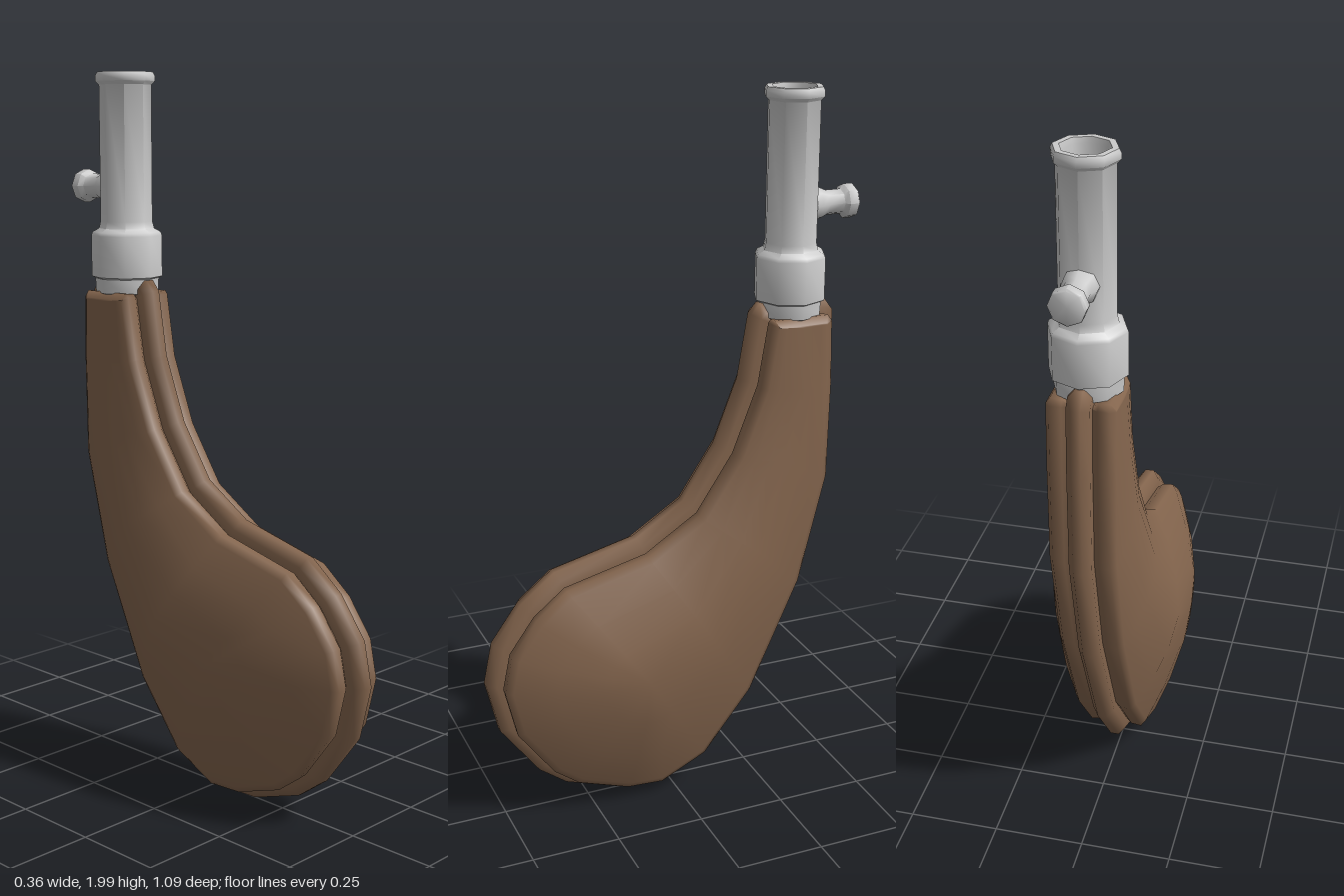
import * as THREE from 'three';
import { mergeVertices, toCreasedNormals } from 'three/addons/utils/BufferGeometryUtils.js';

// spine of the leather body: z, y, half thickness
const SPINE = [
  [-0.36, 1.37, 0.09], [-0.36, 1.2, 0.1], [-0.31, 1.0, 0.108],
  [-0.22, 0.75, 0.14], [-0.07, 0.52, 0.178], [0.12, 0.43, 0.18],
];

// side outline: z, y, index of the spine point each corner leans towards
const OUTLINE = [
  [-0.46, 1.43, 0], [-0.49, 1.39, 0], [-0.495, 1.2, 1], [-0.49, 0.92, 2],
  [-0.41, 0.6, 3], [-0.26, 0.27, 4], [-0.11, 0.08, 5], [0.04, 0.008, 5],
  [0.16, 0.015, 5], [0.32, 0.07, 5], [0.4, 0.13, 5], [0.51, 0.28, 5],
  [0.545, 0.43, 5], [0.52, 0.55, 5], [0.44, 0.66, 5], [0.34, 0.74, 5],
  [0.1, 0.8, 4], [-0.04, 0.89, 3], [-0.14, 1.04, 2], [-0.21, 1.22, 1],
  [-0.24, 1.4, 0], [-0.265, 1.43, 0],
];

// the outline moved inwards by a distance, at a given x
function insetRing(x, distance) {
  const n = OUTLINE.length;
  return OUTLINE.map(([z, y], i) => {
    const a = OUTLINE[(i + n - 1) % n], b = OUTLINE[(i + 1) % n];
    const d1 = new THREE.Vector2(z - a[0], y - a[1]).normalize();
    const d2 = new THREE.Vector2(b[0] - z, b[1] - y).normalize();
    const d = d1.clone().add(d2).normalize();
    const reach = distance / Math.max(0.7, d.dot(d1));
    return new THREE.Vector3(x, y + d.x * reach, z - d.y * reach);
  });
}

// a ring part of the way from the rim of the body to its spine
function domeRing(side, t, rise) {
  return insetRing(0, 0.055).map((p, i) => {
    const [z, y, h] = SPINE[OUTLINE[i][2]];
    const x = side * THREE.MathUtils.lerp(0.088, h, rise);
    return new THREE.Vector3(x, THREE.MathUtils.lerp(p.y, y, t), THREE.MathUtils.lerp(p.z, z, t));
  });
}

// smooth skin through rings of equal length
function loft(rings) {
  const n = rings[0].length, index = [];
  for (let k = 0; k < rings.length - 1; k++) {
    for (let i = 0; i < n; i++) {
      const j = (i + 1) % n;
      const a = k * n + i, b = k * n + j, c = a + n, d = b + n;
      index.push(a, c, b, b, c, d);
    }
  }
  let geometry = new THREE.BufferGeometry().setFromPoints(rings.flat());
  geometry.setIndex(index);
  geometry = mergeVertices(geometry, 1e-5);
  geometry.computeVertexNormals();
  return geometry;
}

// eight-sided turned part from radius, height pairs
function turned(profile) {
  const points = profile.map(([r, y]) => new THREE.Vector2(r, y));
  return toCreasedNormals(new THREE.LatheGeometry(points, 8), 0.9);
}

export function createModel() {
  const group = new THREE.Group();
  const leather = new THREE.MeshStandardMaterial({ color: 0x85664e });
  const metal = new THREE.MeshStandardMaterial({ color: 0xcccccc });

  function add(name, geometry, material) {
    const mesh = new THREE.Mesh(geometry, material);
    mesh.name = name;
    group.add(mesh);
    return mesh;
  }

  // bulging body, mirrored about the seam
  const half = (s) => [
    insetRing(s * 0.025, 0.055), insetRing(s * 0.045, 0.039), insetRing(s * 0.075, 0.036),
    domeRing(s, 0, 0), domeRing(s, 0.3, 0.45), domeRing(s, 0.65, 0.82), domeRing(s, 1, 1),
  ];
  add('leatherBody', loft([...half(-1).reverse(), ...half(1)]), leather);

  // raised seam running around the edge
  const seam = [[-0.03, 0.06], [-0.03, 0.026], [-0.012, 0.002], [0.012, 0.002], [0.03, 0.026], [0.03, 0.06]];
  add('edgeSeam', loft(seam.map(([x, d]) => insetRing(x, d))), leather);

  // collar and hollow spout
  const spout = add('spout', turned([
    [0, 1.36], [0.088, 1.39], [0.09, 1.43], [0.1, 1.435], [0.1, 1.55], [0.096, 1.56],
    [0.078, 1.57], [0.073, 1.59], [0.073, 1.965], [0.083, 1.975], [0.083, 1.99],
    [0.078, 2.0], [0.062, 2.0], [0.058, 1.985], [0.058, 1.85], [0, 1.85],
  ]), metal);
  spout.position.z = -0.36;

  // thumb knob at the back of the spout
  const knob = add('thumbKnob', turned([
    [0, 0], [0.045, 0], [0.045, 0.075], [0.034, 0.1], [0.034, 0.145],
    [0.047, 0.155], [0.047, 0.18], [0.042, 0.185], [0, 0.185],
  ]), metal);
  knob.rotation.x = -Math.PI / 2;
  knob.position.set(0, 1.685, -0.36);

  return group;
}
